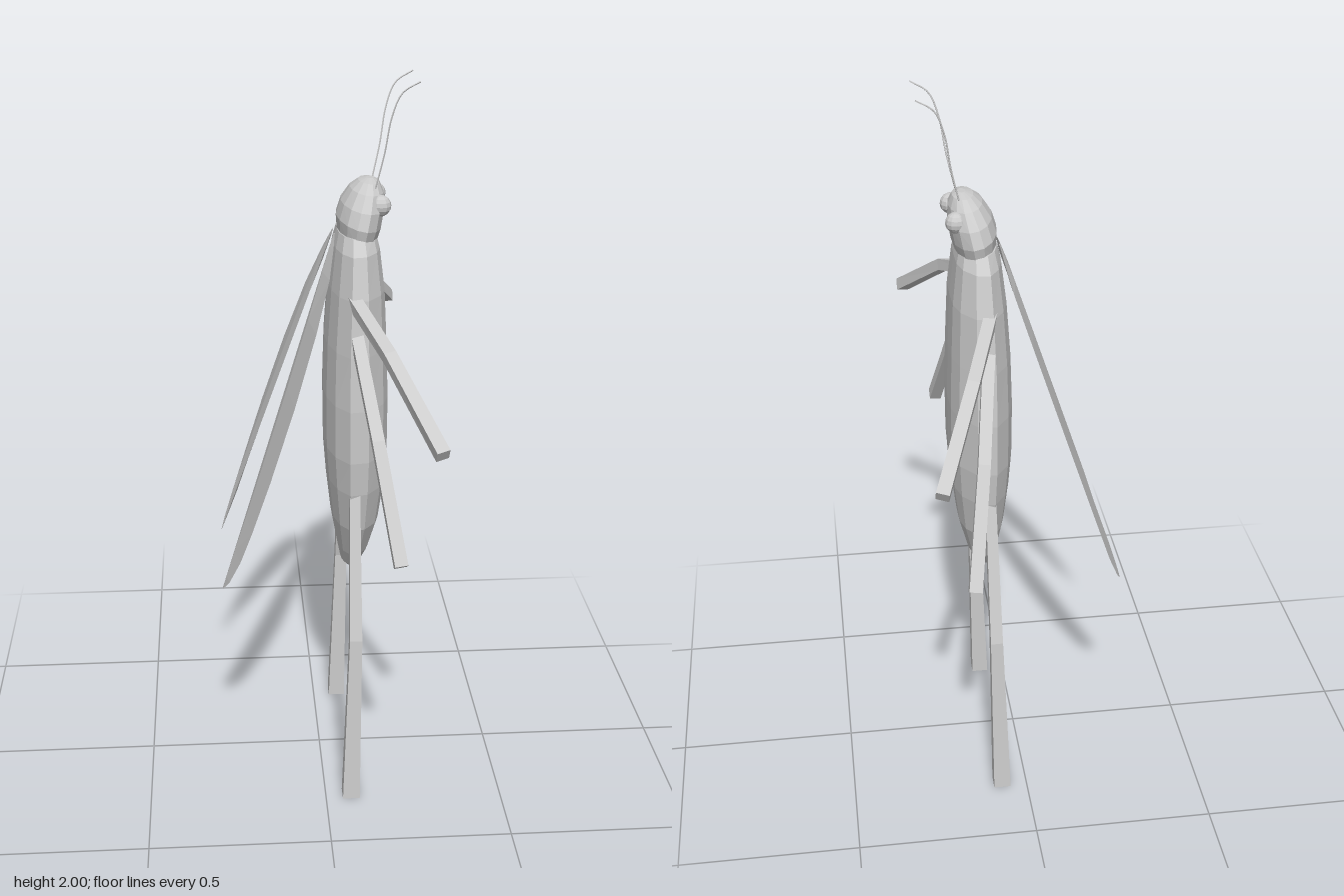
import * as THREE from 'three';

const material = new THREE.MeshStandardMaterial({ color: 0xcccccc, flatShading: true, side: THREE.DoubleSide });
const V = (x, y, z) => new THREE.Vector3(x, y, z);

// Skin a list of equal-length rings, capping both ends; faces always point outward.
function loft(name, rings) {
  const tris = [];
  const n = rings[0].length;
  for (let i = 0; i < rings.length - 1; i++) {
    for (let j = 0; j < n; j++) {
      const k = (j + 1) % n;
      const a = rings[i][j], b = rings[i][k], c = rings[i + 1][k], d = rings[i + 1][j];
      tris.push([a, b, c], [a, c, d]);
    }
  }
  const cap = (ring, flip) => {
    const mid = ring.reduce((s, p) => s.add(p), V(0, 0, 0)).divideScalar(n);
    for (let j = 0; j < n; j++) {
      const a = ring[j], b = ring[(j + 1) % n];
      tris.push(flip ? [mid, b, a] : [mid, a, b]);
    }
  };
  cap(rings[0], true);
  cap(rings[rings.length - 1], false);
  const origin = rings[0][0];
  let volume = 0;
  for (const [a, b, c] of tris) {
    volume += a.clone().sub(origin).dot(b.clone().sub(origin).cross(c.clone().sub(origin)));
  }
  if (volume < 0) tris.forEach(t => t.reverse());
  const geometry = new THREE.BufferGeometry().setFromPoints(tris.flat());
  geometry.computeVertexNormals();
  const mesh = new THREE.Mesh(geometry, material);
  mesh.name = name;
  return mesh;
}

// Flattened body section: rounded back (-x), broad flat belly (+x).
const half = [[1, 0.42], [0.8, 0.7], [0.3, 0.96], [-0.3, 1], [-0.72, 0.75], [-0.94, 0.4]];
const section = [[1.02, 0], ...half, [-1, 0], ...half.map(([u, w]) => [u, -w]).reverse()];

function body() {
  // y, back x, belly x, half width
  const rows = [
    [1.6, 0.045, 0.145, 0.125], [1.56, 0.035, 0.155, 0.16], [1.45, 0.022, 0.168, 0.188],
    [1.3, 0.012, 0.175, 0.202], [1.15, 0.008, 0.18, 0.21], [1.0, 0.01, 0.18, 0.206],
    [0.9, 0.018, 0.174, 0.192], [0.78, 0.032, 0.16, 0.16], [0.68, 0.05, 0.135, 0.105],
    [0.63, 0.06, 0.115, 0.065], [0.6, 0.08, 0.095, 0.012],
  ];
  return loft('body', rows.map(([y, x0, x1, w]) =>
    section.map(([u, v]) => V((x0 + x1) / 2 + u * (x1 - x0) / 2, y, v * w))));
}

function head() {
  // centre x, centre y, x radius, z radius, slope of the ring
  const rows = [
    [0.098, 1.582, 0.052, 0.125, 0.016], [0.103, 1.622, 0.06, 0.136, 0.014],
    [0.113, 1.665, 0.058, 0.123, 0.01], [0.124, 1.705, 0.045, 0.09, 0.006],
    [0.13, 1.727, 0.028, 0.052, 0.002], [0.133, 1.735, 0.01, 0.016, 0],
  ];
  return loft('head', rows.map(([x, y, rx, rz, slope]) => Array.from({ length: 14 }, (_, i) => {
    const a = i / 14 * Math.PI * 2;
    return V(x + Math.cos(a) * rx, y - Math.cos(a) * slope, Math.sin(a) * rz);
  })));
}

// Square-section leg through a list of [x, y, z, half thickness] joints.
function leg(name, joints, s, flatFoot) {
  const pts = joints.map(([x, y, z]) => V(x, y, z * s));
  const last = pts.length - 1;
  return loft(name, pts.map((p, i) => {
    const dir = pts[Math.min(i + 1, last)].clone().sub(pts[Math.max(i - 1, 0)]).normalize();
    if (flatFoot && i === last) dir.set(0, -1, 0);
    const side = V(1, 0, 0).addScaledVector(dir, -dir.x).normalize();
    const up = dir.clone().cross(side);
    const r = joints[i][3];
    return [[1, 1], [-1, 1], [-1, -1], [1, -1]].map(([a, b]) =>
      p.clone().addScaledVector(side, a * r).addScaledVector(up, b * r));
  }));
}

// Thin lens-shaped wing leaning away from the back.
function wing(s) {
  // y, outer z
  const rows = [
    [1.59, 0.035], [1.56, 0.08], [1.5, 0.155], [1.38, 0.235], [1.2, 0.293], [1.0, 0.311],
    [0.85, 0.3], [0.75, 0.275], [0.67, 0.235], [0.63, 0.192],
  ];
  return loft('wing', rows.map(([y, outer]) => {
    const inner = 0.018 + (1.59 - y) * 0.172;
    const x = 0.04 - (1.6 - y) * 0.33;
    const bulge = Math.min(0.009, (outer - inner) * 0.08);
    const ridge = inner + (outer - inner) * 0.3;
    return [V(x, y, inner * s), V(x + bulge, y, ridge * s), V(x + bulge, y, outer * s), V(x - bulge / 2, y, ridge * s)];
  }));
}

function antenna(s) {
  const spread = s > 0 ? 0.09 : 0.075;
  const base = s > 0 ? 0.055 : 0.043;
  const at = (x, y, t) => V(x, y, s * (base + (spread - base) * t));
  const curve = new THREE.CatmullRomCurve3([
    at(0.138, 1.7, 0), at(0.163, 1.81, 0.4), at(0.18, 1.91, 0.75), at(0.205, 1.97, 0.93), at(0.25, 1.998, 1)]);
  const mesh = new THREE.Mesh(new THREE.TubeGeometry(curve, 20, 0.0022, 5), material);
  mesh.name = 'antenna';
  return mesh;
}

export function createModel() {
  const model = new THREE.Group();
  model.name = 'insect';
  model.add(body(), head());
  for (const s of [1, -1]) {
    const eye = new THREE.Mesh(new THREE.SphereGeometry(0.028, 12, 8), material);
    eye.name = 'eye';
    eye.position.set(0.155, 1.675, 0.071 * s);
    model.add(eye, antenna(s), wing(s));
    model.add(
      leg('frontLeg', [[0.075, 1.45, 0.15, 0.016], [0.15, 1.37, 0.385, 0.016], [0.255, 1.205, 0.636, 0.017]], s),
      leg('middleLeg', [[0.085, 1.36, 0.17, 0.016], [0.125, 1.135, 0.38, 0.016], [0.17, 0.865, 0.55, 0.017]], s),
      leg('hindLeg', [[0.085, 0.93, 0.165, 0.014], [0.083, 0.5, 0.268, 0.017], [0.072, 0, 0.281, 0.024]], s, true),
    );
  }
  return model;
}
